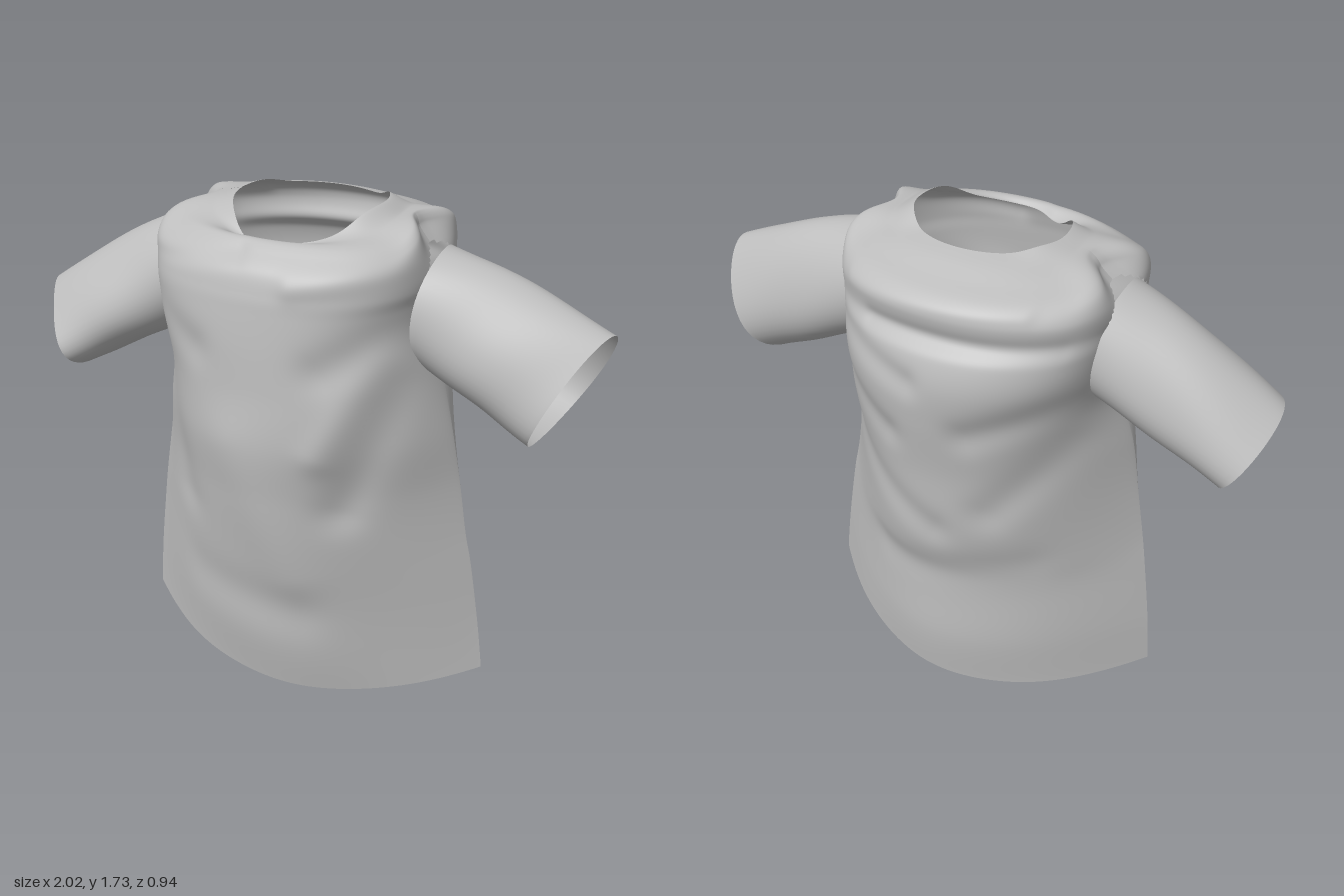
import * as THREE from 'three';

const cloth = new THREE.MeshStandardMaterial({ color: 0xbdbdbd, side: THREE.DoubleSide });
cloth.name = 'grey cloth';

const { lerp, clamp, smoothstep } = THREE.MathUtils;

// Cross-sections from hem to neckline:
// y, half width right, half width left, front z, back z, side seam z,
// roundness (1 = pointed lens, 0.3 = boxy), front asymmetry
const levels = [
  [0.00, 0.655, 0.67, 0.33, -0.33, 0.03, 1.00, 0],
  [0.20, 0.64, 0.645, 0.365, -0.35, 0.03, 1.00, 0],
  [0.45, 0.61, 0.61, 0.40, -0.355, 0.035, 1.00, 0],
  [0.60, 0.59, 0.585, 0.42, -0.385, 0.04, 0.98, 0],
  [0.80, 0.56, 0.555, 0.445, -0.415, 0.04, 0.92, 0],
  [1.00, 0.525, 0.52, 0.468, -0.43, 0.045, 0.74, 0.02],
  [1.20, 0.47, 0.47, 0.45, -0.455, 0.03, 0.48, 0.07],
  [1.35, 0.475, 0.435, 0.44, -0.468, 0.01, 0.37, 0.09],
  [1.45, 0.485, 0.435, 0.43, -0.45, 0, 0.35, 0.09],
  [1.51, 0.49, 0.445, 0.42, -0.415, 0, 0.35, 0.08],
  [1.58, 0.50, 0.45, 0.395, -0.415, 0, 0.37, 0.08],
  [1.63, 0.48, 0.445, 0.34, -0.375, 0, 0.41, 0.06],
  [1.66, 0.43, 0.415, 0.30, -0.305, 0, 0.45, 0.03],
  [1.685, 0.34, 0.33, 0.28, -0.245, 0, 0.48, 0],
  [1.70, 0.26, 0.25, 0.27, -0.19, 0.01, 0.5, 0],
];

// Creases and ridges: x0, y0, x1, y1, width, height
const frontFolds = [
  [0.43, 1.42, 0.2, 1.28, 0.07, -0.02], [0.42, 1.2, 0.26, 0.78, 0.07, -0.025],
  [0.36, 1.3, 0.2, 1.0, 0.06, 0.015], [-0.45, 1.4, -0.25, 1.3, 0.07, -0.018],
  [-0.46, 1.15, -0.36, 0.7, 0.08, -0.02], [-0.3, 0.38, 0.1, 0.35, 0.1, -0.012],
  [-0.45, 1.55, -0.1, 1.62, 0.03, -0.012], [0.4, 1.6, 0.1, 1.55, 0.04, 0.012],
  [-0.1, 1.0, 0.1, 0.5, 0.11, 0.01],
];
const backFolds = [
  [-0.4, 1.5, 0.2, 1.5, 0.03, -0.012], [0.42, 1.45, 0.05, 1.35, 0.05, -0.016],
  [0.42, 1.25, 0.15, 1.12, 0.06, -0.018], [-0.43, 1.3, -0.15, 1.18, 0.06, -0.018],
  [-0.42, 1.1, -0.2, 0.85, 0.07, -0.018], [0.4, 0.95, 0.0, 0.75, 0.07, -0.015],
  [-0.3, 0.6, 0.25, 0.5, 0.08, -0.012], [-0.3, 1.62, 0.3, 1.6, 0.03, 0.01],
];

const bell = (x, centre, width) => Math.exp(-(((x - centre) / width) ** 2));

function foldHeight(folds, x, y) {
  let h = 0;
  for (const [x0, y0, x1, y1, w, d] of folds) {
    const dx = x1 - x0, dy = y1 - y0;
    const t = clamp(((x - x0) * dx + (y - y0) * dy) / (dx * dx + dy * dy), 0, 1);
    h += d * bell(Math.hypot(x - x0 - t * dx, y - y0 - t * dy), 0, w);
  }
  return h;
}

// Smooth interpolation through the cross-section table
function levelAt(v) {
  const s = v * (levels.length - 1);
  const i = Math.min(Math.floor(s), levels.length - 2), t = s - i;
  const at = (k) => levels[clamp(k, 0, levels.length - 1)];
  return levels[0].map((_, c) => {
    const [a, b, d, e] = [at(i - 1)[c], at(i)[c], at(i + 1)[c], at(i + 2)[c]];
    return b + 0.5 * t * (d - a + t * (2 * a - 5 * b + 4 * d - e + t * (3 * (b - d) + e - a)));
  });
}

// Grid surface from a rule; wrap closes it around u
function surface(name, rule, nu, nv, { wrap = false, flip = false, skip = null } = {}) {
  const cols = wrap ? nu : nu + 1, pos = [], index = [];
  for (let j = 0; j <= nv; j++)
    for (let i = 0; i < cols; i++) pos.push(...rule(i / nu, j / nv));
  for (let j = 0; j < nv; j++)
    for (let i = 0; i < nu; i++) {
      const n = (i + 1) % cols;
      const a = j * cols + i, b = j * cols + n, c = a + cols, d = b + cols;
      if (skip && skip(pos[3 * a], pos[3 * a + 1], pos[3 * a + 2])) continue;
      if (flip) index.push(a, c, b, b, c, d);
      else index.push(a, b, c, b, d, c);
    }
  const g = new THREE.BufferGeometry();
  g.setAttribute('position', new THREE.Float32BufferAttribute(pos, 3));
  g.setIndex(index);
  g.computeVertexNormals();
  const mesh = new THREE.Mesh(g, cloth);
  mesh.name = name;
  return mesh;
}

// Half of the body, from the right side seam to the left
function panel(name, front) {
  const sign = front ? 1 : -1;
  const rule = (s, v) => {
    const [y0, wr, wl, zf, zb, zs, round, skew] = levelAt(v);
    const a = Math.PI * (1 - s), u = Math.cos(a), bow = Math.sin(a) ** 2;
    const neck = smoothstep(v, 0.82, 1), rim = smoothstep(v, 0.92, 1);
    // shoulders tuck in and rise above the armholes
    const shoulder = smoothstep(v, 0.66, 0.77) * (1 - smoothstep(v, 0.82, 1));
    let y = y0 + 0.065 * u * u * (1 - smoothstep(v, 0, 0.3));
    y += shoulder * (0.05 * bell(u, 1, 0.12) + 0.03 * bell(u, -1, 0.12));
    // neckline dips in front and turns up at the sides
    if (front) y -= neck * (0.06 * bow + 0.03 * bell(u, -0.5, 0.25));
    y += rim * (0.035 * bell(u, 0.95, 0.2) + 0.015 * bell(u, -0.9, 0.2));
    const q = front ? round + skew * u : round;
    const depth = (front ? zf - zs : zb - zs) * Math.pow(bow, q);
    const x = u * (u < 0 ? wr : wl) * (1 - 0.2 * shoulder * bell(depth, 0, 0.1));
    const h = foldHeight(front ? frontFolds : backFolds, x, y)
      + 0.004 * Math.sin(9 * x + 5 * y) * Math.sin(7 * y - 4 * x + 1);
    return [x, y, zs + depth + sign * h * Math.sqrt(bow) * (1 - 0.7 * neck)];
  };
  // armholes
  const skip = (x, y, z) => Math.abs(x) > 0.3 && Math.hypot(z / 0.16, (y - 1.42) / 0.19) < 1;
  return surface(name, rule, 120, 140, { flip: !front, skip });
}

// Short sleeve: tilted oval rings from the armhole to the cuff
function sleeve(name, side, root, cuff) {
  const rule = (s, t) => {
    const a = s * Math.PI * 2, c = Math.cos(a), n = Math.sin(a);
    const [cx, cy, cz, ax, ay, az] = root.map((r, k) => lerp(r, cuff[k], t));
    const bulge = Math.sin(Math.PI * t);
    const wave = 1 + 0.02 * bulge * Math.sin(3 * a + 6 * t);
    // the cuff is shorter in front and narrower at the top
    const x = cx + ax * c - 0.03 * n * n * (1 - t) ** 3 - 0.04 * n * t;
    const y = cy + ay * c * wave + 0.02 * bulge * Math.max(c, 0);
    const z = cz + az * n * wave * (1 - 0.38 * t * c);
    return [side * x, y, z];
  };
  return surface(name, rule, 48, 28, { wrap: true, flip: side > 0 });
}

export function createModel() {
  const shirt = new THREE.Group();
  shirt.name = 'shirt';
  shirt.add(panel('frontPanel', true), panel('backPanel', false));
  // centre x, y, z, then the offset to the top edge x, y and the half depth
  shirt.add(sleeve('leftSleeve', 1,
    [0.44, 1.405, 0, 0.01, 0.2, 0.19], [0.905, 1.215, 0.025, 0.095, 0.195, 0.18]));
  shirt.add(sleeve('rightSleeve', -1,
    [0.475, 1.41, 0, 0.01, 0.2, 0.19], [0.915, 1.165, 0.055, 0.085, 0.135, 0.215]));
  return shirt;
}
